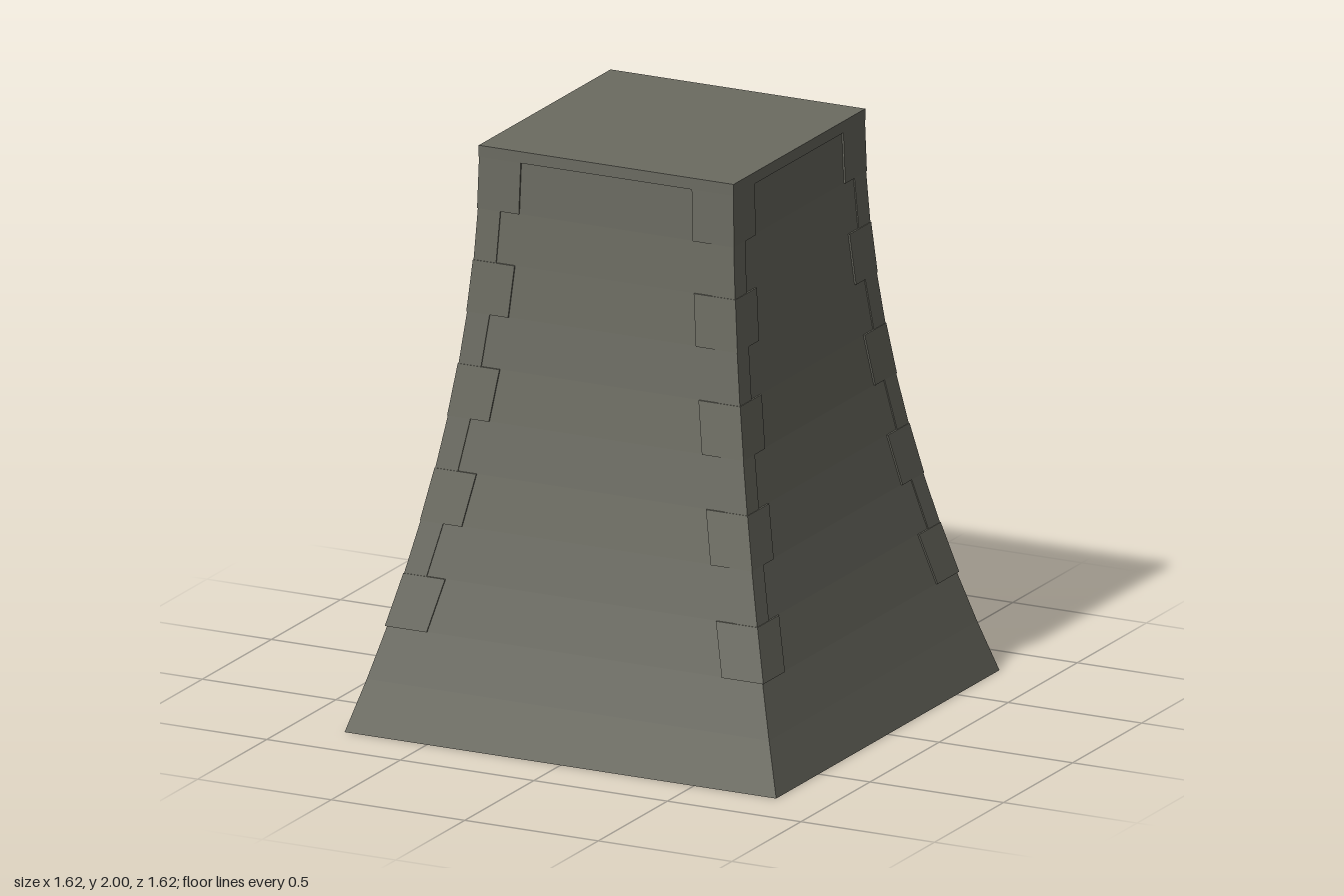
import * as THREE from 'three';

// Half width of the flared square tower at height y
const halfWidth = (y) => 0.47 + 0.338 * Math.pow(1 - y / 2, 1.9);

// Corner stone between y0 and y1, leaning with the wall; sx and sz pick the corner
function stoneGeometry(sx, sz, y0, y1, arm, proud) {
  const geo = new THREE.BoxGeometry(1, 1, 1);
  const p = geo.attributes.position;
  for (let i = 0; i < p.count; i++) {
    const y = p.getY(i) > 0 ? y1 : y0;
    const w = halfWidth(y);
    const place = (v, s) => s * (v * s > 0 ? w + proud : w - arm);
    p.setXYZ(i, place(p.getX(i), sx), y, place(p.getZ(i), sz));
  }
  geo.computeVertexNormals();
  return geo;
}

export function createModel() {
  const group = new THREE.Group();
  const stone = new THREE.MeshStandardMaterial({ color: 0x6b6b61 });
  stone.name = 'greyStone';

  const add = (name, geo) => {
    const mesh = new THREE.Mesh(geo, stone);
    mesh.name = name;
    group.add(mesh);
  };

  // Flared body: four-sided lathe with closed ends
  const courses = 11;
  const step = 1.96 / courses;
  const profile = [new THREE.Vector2(0, 0)];
  for (let i = 0; i <= courses; i++) {
    const y = i * step;
    profile.push(new THREE.Vector2(halfWidth(y) * Math.SQRT2, y));
  }
  profile.push(new THREE.Vector2(0, 1.96));
  const body = new THREE.LatheGeometry(profile, 4, Math.PI / 4).toNonIndexed();
  body.computeVertexNormals();
  add('towerBody', body);

  // Thin cap slab
  const cap = new THREE.BoxGeometry(0.954, 0.04, 0.954);
  cap.translate(0, 1.98, 0);
  add('capSlab', cap);

  // Corner stones, alternating wide and narrow courses
  for (let i = 2; i < courses; i++) {
    const arm = i % 2 === 0 ? 0.15 : 0.08;
    for (const sx of [-1, 1]) {
      for (const sz of [-1, 1]) {
        add('cornerStone', stoneGeometry(sx, sz, i * step, (i + 1) * step, arm, i % 2 === 0 ? 0.006 : 0.004));
      }
    }
  }
  return group;
}
